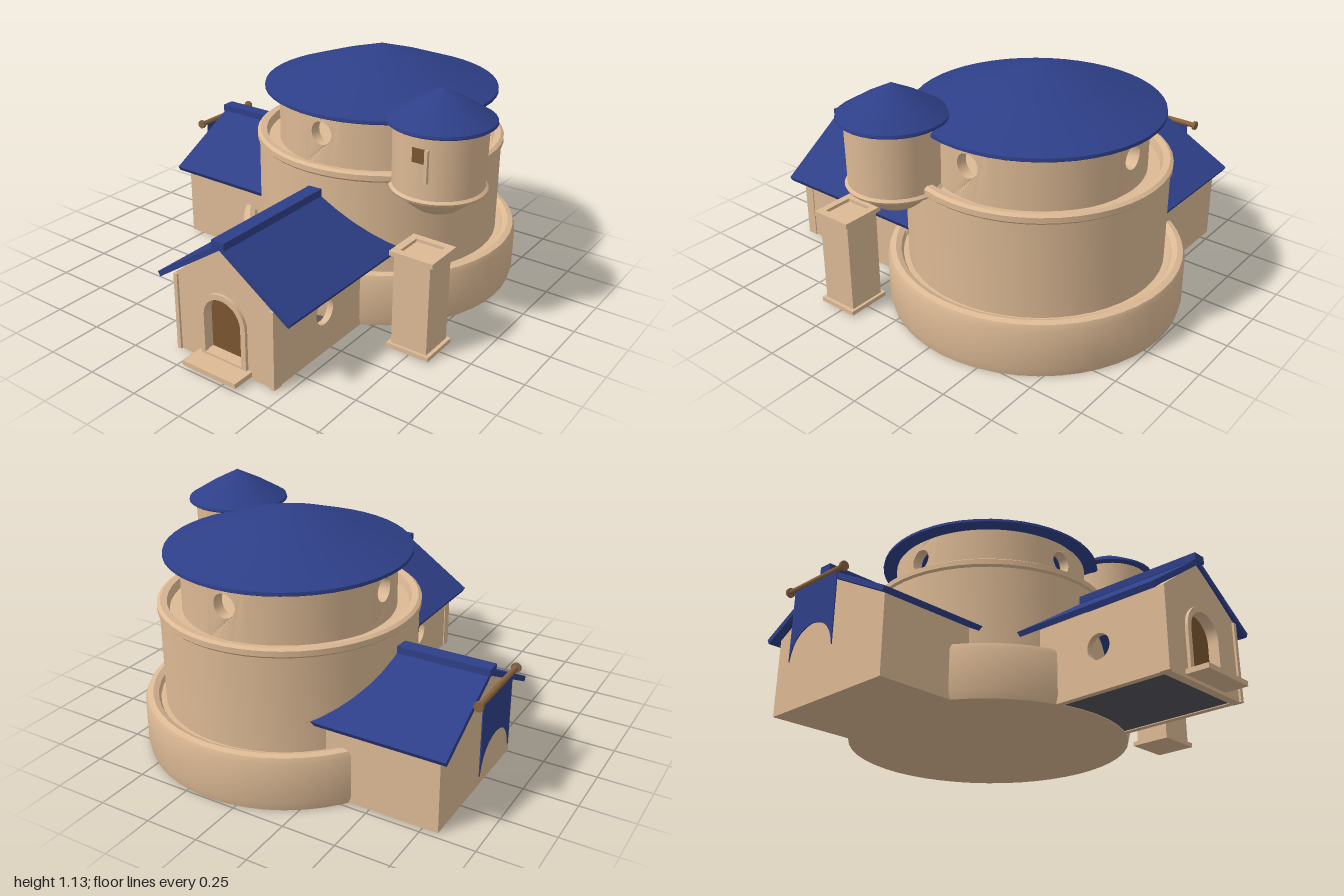
import * as THREE from 'three';
import { toCreasedNormals } from 'three/addons/utils/BufferGeometryUtils.js';

const V = (x, y) => new THREE.Vector2(x, y);

export function createModel() {
  const mat = (name, color, side = THREE.FrontSide) => {
    const m = new THREE.MeshStandardMaterial({ color, side });
    m.name = name;
    return m;
  };
  const plaster = mat('sand plaster', 0xdcb994, THREE.DoubleSide);
  const blue = mat('blue roof', 0x2e3f88, THREE.DoubleSide);
  const doorBrown = mat('door brown', 0x7a5630);
  const wood = mat('pole wood', 0x87633f);
  const slate = mat('slate floor', 0x55565e);

  const model = new THREE.Group();
  model.name = 'domedHouse';

  const add = (parent, name, geo, material, x = 0, y = 0, z = 0) => {
    const mesh = new THREE.Mesh(geo, material);
    mesh.name = name;
    mesh.position.set(x, y, z);
    parent.add(mesh);
    return mesh;
  };
  const group = (name, x = 0, y = 0, z = 0) => {
    const g = new THREE.Group();
    g.name = name;
    g.position.set(x, y, z);
    model.add(g);
    return g;
  };
  const box = (parent, name, m, x0, x1, y0, y1, z0, z1) =>
    add(parent, name, new THREE.BoxGeometry(x1 - x0, y1 - y0, z1 - z0), m,
      (x0 + x1) / 2, (y0 + y1) / 2, (z0 + z1) / 2);
  const lathe = (pts, seg = 40) =>
    toCreasedNormals(new THREE.LatheGeometry(pts.map(p => V(...p)), seg), 0.6);
  const extrude = (shape, depth) =>
    new THREE.ExtrudeGeometry(shape, { depth, bevelEnabled: false, curveSegments: 16 });
  const poly = pts => new THREE.Shape(pts.map(p => V(...p)));
  const circleHole = (x, y, rx, ry = rx) => new THREE.Path().absellipse(x, y, rx, ry, 0, Math.PI * 2, true);
  // Arched outline standing on y0, with a half-round head
  const arch = (C, r, y0, ySpring) => {
    const s = new C();
    s.moveTo(-r, y0);
    s.lineTo(r, y0);
    s.lineTo(r, ySpring);
    s.absarc(0, ySpring, r, 0, Math.PI, false);
    s.lineTo(-r, y0);
    return s;
  };

  // ---- Round tower in three tiers
  const tower = group('tower', 0.14, 0, -0.325);
  add(tower, 'lowerTier', lathe([[0, 0], [0.67, 0], [0.68, 0.04], [0.68, 0.23], [0.67, 0.255],
    [0.645, 0.262], [0.62, 0.25], [0.61, 0.23], [0.58, 0.23]], 48), plaster);
  add(tower, 'middleTier', lathe([[0.585, 0.2], [0.585, 0.67], [0.595, 0.68], [0.595, 0.705],
    [0.58, 0.715], [0.55, 0.71], [0.54, 0.67], [0, 0.67]], 48), plaster);

  // Upper tier: wall arcs alternating with bent panels pierced by round windows
  const R = 0.485, y0 = 0.66, y1 = 0.935, half = 0.2, thick = 0.05;
  for (let i = 0; i < 4; i++) {
    const a0 = i * Math.PI / 2;
    add(tower, 'upperWall', new THREE.CylinderGeometry(R, R, y1 - y0, 14, 1, true,
      a0 + half, Math.PI / 2 - 2 * half), plaster, 0, (y0 + y1) / 2, 0);
    const edge = [];
    for (let k = 0; k <= 8; k++) edge.push([-half + k * half / 4, y0]);
    for (let k = 8; k >= 0; k--) edge.push([-half + k * half / 4, y1]);
    const shape = poly(edge);
    shape.holes.push(circleHole(0, 0.825, 0.055 / R, 0.055));
    const geo = extrude(shape, thick);
    const p = geo.attributes.position;
    for (let k = 0; k < p.count; k++) {
      const a = a0 + p.getX(k), r = R - thick + p.getZ(k);
      p.setXYZ(k, Math.sin(a) * r, p.getY(k), Math.cos(a) * r);
    }
    add(tower, 'windowPanel', toCreasedNormals(geo, 0.6), plaster);
  }
  add(tower, 'towerRoof', lathe([[0, 0.93], [0.545, 0.922], [0.555, 0.928], [0.553, 0.942],
    [0.28, 1.04], [0, 1.13]], 48), blue);

  // ---- Hanging side turret
  const turret = group('turret', 0.675, 0, 0.03);
  add(turret, 'turretBowl', lathe([[0, 0.548], [0.05, 0.553], [0.1, 0.575], [0.15, 0.615],
    [0.19, 0.66]], 32), plaster);
  add(turret, 'turretFlange', lathe([[0.18, 0.658], [0.21, 0.66], [0.216, 0.672], [0.205, 0.682],
    [0.19, 0.682]], 32), plaster);
  add(turret, 'turretWall', new THREE.CylinderGeometry(0.207, 0.203, 0.3, 32, 1, true), plaster, 0, 0.825, 0);
  add(turret, 'turretRoof', lathe([[0, 0.975], [0.232, 0.966], [0.24, 0.972], [0.237, 0.984],
    [0.12, 1.055], [0, 1.117]], 32), blue);
  box(turret, 'turretWindow', doorBrown, -0.015, 0.045, 0.845, 0.91, 0.2, 0.208);
  box(turret, 'windowTrim', plaster, 0.045, 0.06, 0.76, 0.91, 0.19, 0.212);

  // ---- Gabled wings: roof chevron and ridge cap run along local +z
  const gableRoof = (parent, w, eave, zBack, zFront) => {
    const chevron = poly([[-w, eave], [-w + 0.012, eave - 0.022], [0, 0.563],
      [w - 0.012, eave - 0.022], [w, eave], [0, 0.592]]);
    add(parent, 'wingRoof', extrude(chevron, zFront - zBack), blue, 0, 0, zBack);
    box(parent, 'ridgeCap', blue, -0.033, 0.033, 0.572, 0.607, zBack, zFront + 0.008);
  };
  const gable = (w, wallTop) => poly([[-w, 0], [w, 0], [w, wallTop], [0, 0.57], [-w, wallTop]]);

  // Side wing on the model's right
  const sideWing = group('sideWing', 0, 0, -0.352);
  sideWing.rotation.y = -Math.PI / 2;
  add(sideWing, 'sideWingWalls', extrude(gable(0.368, 0.37), 0.72), plaster, 0, 0, 0.1);
  gableRoof(sideWing, 0.415, 0.372, 0.15, 0.862);

  // Banner hung from a pole, with an arched cut in its lower edge
  const pole = add(sideWing, 'bannerPole', new THREE.CylinderGeometry(0.013, 0.013, 0.39, 10), wood, -0.013, 0.53, 0.9);
  pole.rotation.z = Math.PI / 2;
  for (const s of [-1, 1]) {
    const knob = add(sideWing, 'poleKnob', new THREE.CylinderGeometry(0.022, 0.022, 0.014, 12), wood,
      -0.013 + s * 0.193, 0.53, 0.9);
    knob.rotation.z = Math.PI / 2;
  }
  const cloth = new THREE.Shape();
  cloth.moveTo(-0.15, 0.53);
  cloth.lineTo(-0.15, 0.18);
  cloth.quadraticCurveTo(-0.13, 0.31, 0, 0.32);
  cloth.quadraticCurveTo(0.13, 0.31, 0.15, 0.18);
  cloth.lineTo(0.15, 0.53);
  add(sideWing, 'banner', extrude(cloth, 0.005), blue, -0.013, 0, 0.898);

  // Entrance wing
  const entry = group('entranceWing', 0.18, 0, 0);
  const front = gable(0.265, 0.375);
  front.holes.push(arch(THREE.Path, 0.105, 0.05, 0.23));
  add(entry, 'frontWall', extrude(front, 0.04), plaster, 0, 0, 0.85);
  add(entry, 'door', extrude(arch(THREE.Shape, 0.115, 0.04, 0.23), 0.008), doorBrown, 0, 0, 0.84);
  const trim = arch(THREE.Shape, 0.125, 0.04, 0.23);
  trim.holes.push(arch(THREE.Path, 0.1, 0.05, 0.23));
  add(entry, 'doorFrame', extrude(trim, 0.02), plaster, 0, 0, 0.885);
  for (const s of [-1, 1]) {
    const wall = poly([[0.2, 0], [0.87, 0], [0.87, 0.375], [0.2, 0.375]]);
    wall.holes.push(circleHole(0.545, 0.2, 0.06));
    const m = add(entry, 'entranceSideWall', extrude(wall, 0.03), plaster, s > 0 ? 0.265 : -0.235, 0, 0);
    m.rotation.y = -Math.PI / 2;
    box(entry, 'cornerPilaster', plaster, s * 0.26 - 0.01, s * 0.26 + 0.01, 0, 0.37, 0.85, 0.9);
  }
  box(entry, 'entranceFloor', slate, -0.24, 0.24, 0.004, 0.012, 0.2, 0.85);
  box(entry, 'doorStep', plaster, -0.145, 0.145, 0.015, 0.038, 0.86, 1.0);
  gableRoof(entry, 0.36, 0.35, 0.1, 0.902);

  // ---- Square pillar with a hollow cap
  const pillar = group('pillar', 0.748, 0, 0.265);
  box(pillar, 'pillarShaft', plaster, -0.088, 0.088, 0.02, 0.465, -0.085, 0.085);
  box(pillar, 'pillarBase', plaster, -0.105, 0.105, 0.01, 0.03, -0.098, 0.098);
  const cap = poly([[-0.105, -0.098], [0.105, -0.098], [0.105, 0.098], [-0.105, 0.098]]);
  cap.holes.push(new THREE.Path([V(-0.07, -0.065), V(-0.07, 0.065), V(0.07, 0.065), V(0.07, -0.065)]));
  const capMesh = add(pillar, 'pillarCap', extrude(cap, 0.022), plaster, 0, 0.48, 0);
  capMesh.rotation.x = Math.PI / 2;

  return model;
}
